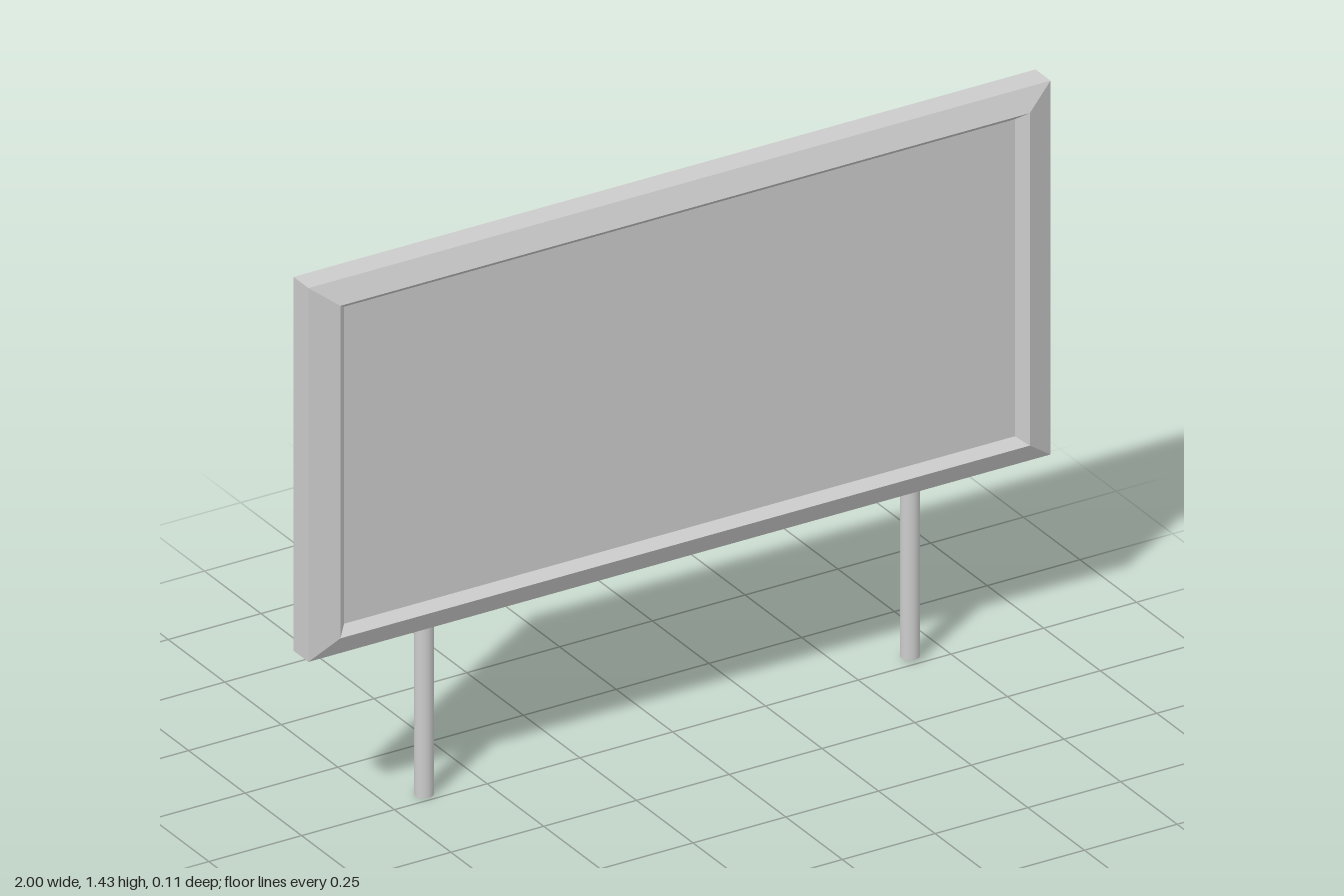
import * as THREE from 'three';

// Rectangle corners, counter-clockwise seen from the front
const ring = (halfWidth, bottom, top, z) => [
  [-halfWidth, bottom, z], [halfWidth, bottom, z], [halfWidth, top, z], [-halfWidth, top, z],
];

// Flat-shaded quads from corner lists
function quadMesh(name, quads, material) {
  const positions = quads.flatMap(([a, b, c, d]) => [a, b, c, a, c, d].flat());
  const geometry = new THREE.BufferGeometry();
  geometry.setAttribute('position', new THREE.Float32BufferAttribute(positions, 3));
  geometry.computeVertexNormals();
  const mesh = new THREE.Mesh(geometry, material);
  mesh.name = name;
  return mesh;
}

// Quads joining each rectangle to the next
function joinRings(rings) {
  const quads = [];
  for (let r = 0; r < rings.length - 1; r++) {
    for (let i = 0; i < 4; i++) {
      const j = (i + 1) % 4;
      quads.push([rings[r][i], rings[r][j], rings[r + 1][j], rings[r + 1][i]]);
    }
  }
  return quads;
}

export function createModel() {
  const group = new THREE.Group();
  group.name = 'billboard';
  const material = new THREE.MeshStandardMaterial({ color: 0xcccccc });

  // Frame profile: back edge, side wall, outer bevel, inner bevel
  const back = ring(1, 0.463, 1.431, -0.036);
  const side = ring(1, 0.463, 1.431, 0.03);
  const ridge = ring(0.929, 0.516, 1.377, 0.055);
  const recess = ring(0.904, 0.536, 1.357, 0.03);

  group.add(quadMesh('frame', joinRings([back, side, ridge, recess]), material));
  group.add(quadMesh('displayPanel', [recess], material));
  group.add(quadMesh('backPanel', [[...back].reverse()], material));

  // Round posts, half sunk into the back
  const addPost = (name, x, z, bottom, top) => {
    const post = new THREE.Mesh(new THREE.CylinderGeometry(0.023, 0.023, top - bottom, 32), material);
    post.position.set(x, (top + bottom) / 2, z);
    post.name = name;
    group.add(post);
  };
  addPost('rightPost', -0.651, -0.032, 0, 1.208);
  addPost('leftPost', 0.657, -0.029, 0.008, 1.213);

  return group;
}
